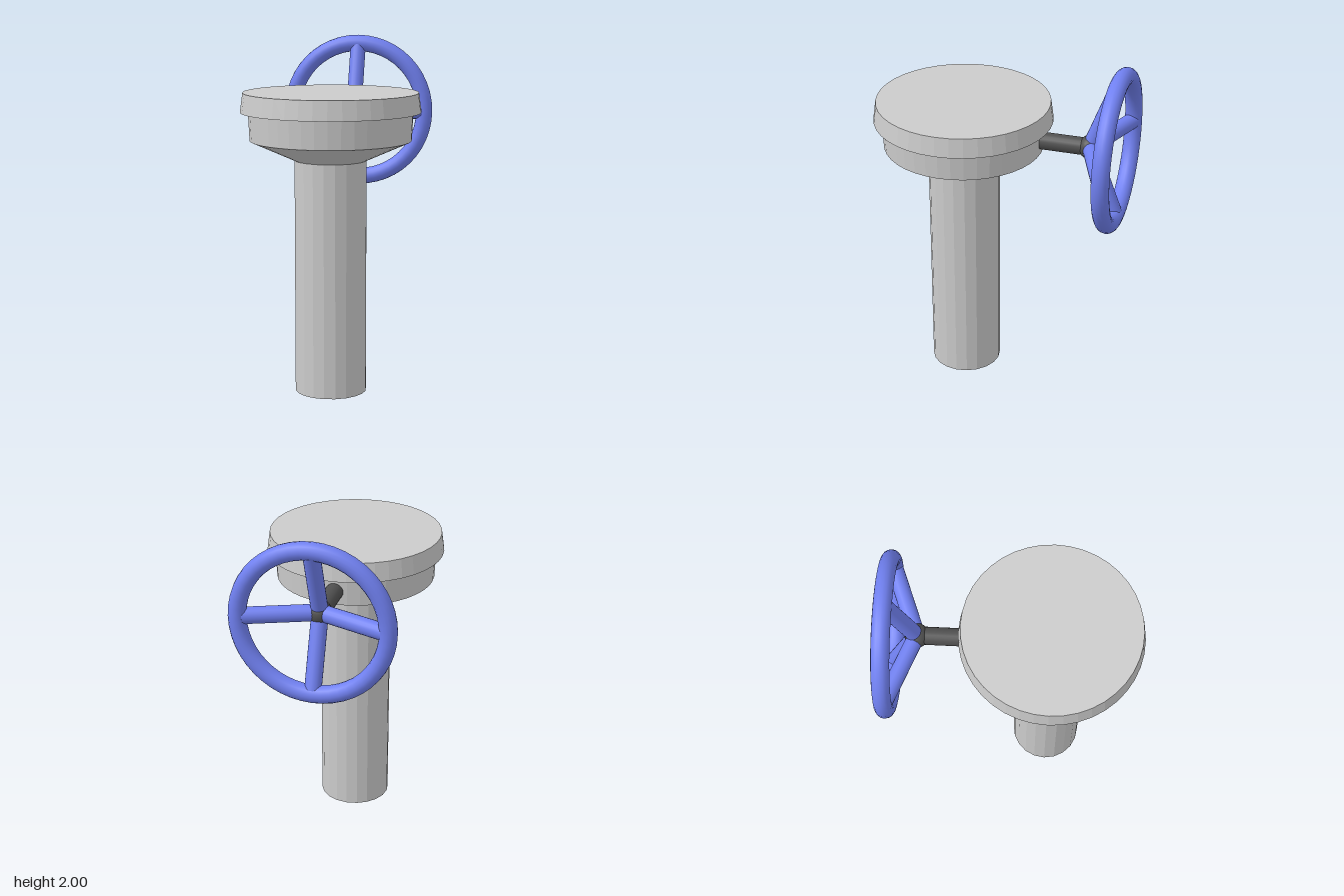
import * as THREE from 'three';

const grey = new THREE.MeshStandardMaterial({ color: 0xcccccc, flatShading: true });
const dark = new THREE.MeshStandardMaterial({ color: 0x505050 });
const blue = new THREE.MeshStandardMaterial({ color: 0x7080f0 });

const BODY_Z = 0.215;   // axis of the standing pipe
const WHEEL_Y = 1.535;  // height of the wheel axle
const RIM_Z = -0.68;
const HUB_Z = -0.525;
const RIM_R = 0.415;

function add(parent, name, geometry, material, x = 0, y = 0, z = 0) {
  const mesh = new THREE.Mesh(geometry, material);
  mesh.name = name;
  mesh.position.set(x, y, z);
  parent.add(mesh);
  return mesh;
}

// Round rod between two points
function rod(parent, name, from, to, radius, material) {
  const dir = to.clone().sub(from);
  const mesh = add(parent, name, new THREE.CylinderGeometry(radius, radius, dir.length(), 20), material);
  mesh.position.copy(from).add(to).multiplyScalar(0.5);
  mesh.quaternion.setFromUnitVectors(new THREE.Vector3(0, 1, 0), dir.normalize());
  return mesh;
}

export function createModel() {
  const model = new THREE.Group();
  model.name = 'valve';

  // Standing pipe
  add(model, 'pipe', new THREE.CylinderGeometry(0.205, 0.205, 1.345, 20), grey, 0, 0.6725, BODY_Z);

  // Flared head with overhanging tapered cap
  const profile = [
    [0.2, 1.34], [0.457, 1.455], [0.465, 1.615], [0.51, 1.615], [0.495, 1.725], [0, 1.725],
  ].map(([r, y]) => new THREE.Vector2(r, y));
  add(model, 'head', new THREE.LatheGeometry(profile, 40), grey, 0, 0, BODY_Z);

  // Axle and hub
  const axle = new THREE.Vector3(0, WHEEL_Y, -0.1);
  const hub = new THREE.Vector3(0, WHEEL_Y, HUB_Z);
  rod(model, 'axle', axle, hub, 0.05, dark);
  add(model, 'hub', new THREE.SphereGeometry(0.068, 20, 14), dark, 0, WHEEL_Y, HUB_Z);

  // Dished hand wheel
  const wheel = new THREE.Group();
  wheel.name = 'handWheel';
  model.add(wheel);
  add(wheel, 'rim', new THREE.TorusGeometry(RIM_R, 0.05, 16, 48), blue, 0, WHEEL_Y, RIM_Z);
  for (let i = 0; i < 4; i++) {
    const a = i * Math.PI / 2;
    const end = new THREE.Vector3(Math.cos(a) * 0.395, WHEEL_Y + Math.sin(a) * 0.395, RIM_Z + 0.005);
    rod(wheel, 'spoke' + (i + 1), hub, end, 0.047, blue);
  }

  return model;
}
